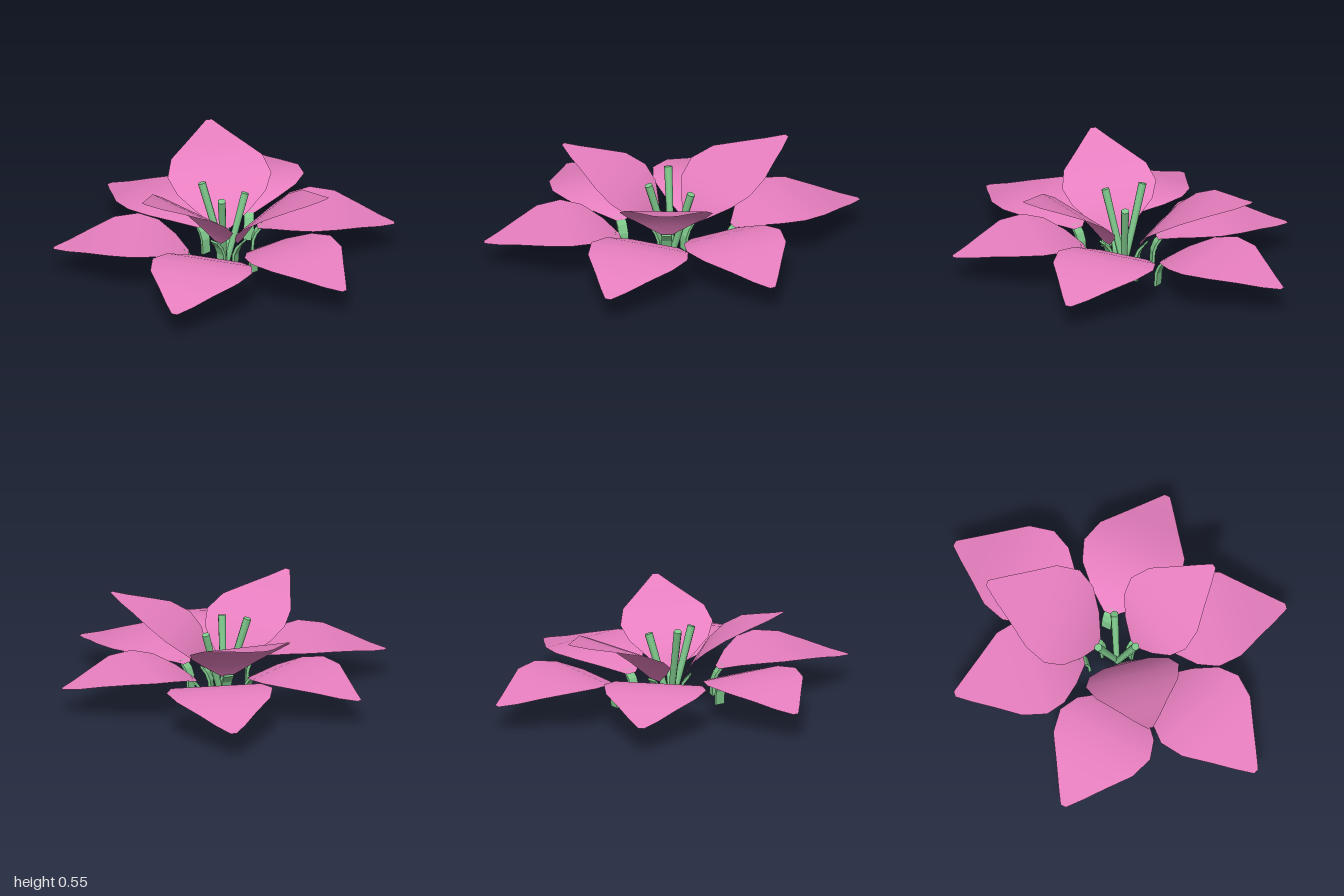
import * as THREE from 'three';

const pink = new THREE.MeshStandardMaterial({ color: 0xe87fc0, side: THREE.DoubleSide });
const green = new THREE.MeshStandardMaterial({ color: 0x7fc98c, side: THREE.DoubleSide });

// Petal cross-sections from base to tip: distance out, height, half width
const SECTIONS = [
  [0, 0, 0.03], [0.08, 0.045, 0.14], [0.18, 0.08, 0.24], [0.29, 0.092, 0.282],
  [0.42, 0.082, 0.248], [0.55, 0.047, 0.15], [0.65, 0.017, 0.077], [0.73, 0, 0.016],
];
const LENGTH = 0.73;

// A flat grid whose rows follow the sections
function petalGeometry() {
  const rows = SECTIONS.length - 1, cols = 4;
  const geo = new THREE.PlaneGeometry(1, 1, cols, rows);
  const p = geo.attributes.position;
  for (let i = 0; i < p.count; i++) {
    const [out, up, half] = SECTIONS[rows - Math.floor(i / (cols + 1))];
    p.setXYZ(i, out, up, p.getX(i) * 2 * half);
  }
  geo.computeVertexNormals();
  return geo;
}

// A thin bent strip that rises from the ground to the petal base
function stalkGeometry() {
  const s = new THREE.Shape();
  [[-0.035, 0], [-0.03, 0.08], [-0.012, 0.125], [0.025, 0.165],
    [0.03, 0.155], [0, 0.115], [-0.015, 0.075], [-0.02, 0]]
    .forEach(([x, y], i) => (i ? s.lineTo(x, y) : s.moveTo(x, y)));
  const geo = new THREE.ExtrudeGeometry(s, { depth: 0.055, bevelEnabled: false });
  return geo.translate(0, 0, -0.0275);
}

const petalGeo = petalGeometry();
const stalkGeo = stalkGeometry();
const BASE_Y = 0.15;

// Place a petal and its stalk from base (x, z) to tip (x, y, z)
function makePetal(name, [bx, bz], [tx, ty, tz]) {
  const group = new THREE.Group();
  group.name = name;
  const run = Math.hypot(tx - bx, tz - bz), rise = ty - BASE_Y;

  const blade = new THREE.Mesh(petalGeo, pink);
  blade.name = 'petalBlade';
  blade.position.y = BASE_Y;
  blade.rotation.z = Math.atan2(rise, run);
  blade.scale.setScalar(Math.hypot(run, rise) / LENGTH);

  const stalk = new THREE.Mesh(stalkGeo, green);
  stalk.name = 'petalStalk';
  group.add(blade, stalk);
  group.position.set(bx, 0, bz);
  group.rotation.y = Math.atan2(bz - tz, tx - bx);
  return group;
}

// A tapered rod between two points
function makeStamen(from, to) {
  const a = new THREE.Vector3(...from), b = new THREE.Vector3(...to);
  const dir = b.clone().sub(a);
  const mesh = new THREE.Mesh(new THREE.CylinderGeometry(0.022, 0.017, dir.length(), 8), green);
  mesh.name = 'stamen';
  mesh.position.copy(a).add(b).multiplyScalar(0.5);
  mesh.quaternion.setFromUnitVectors(new THREE.Vector3(0, 1, 0), dir.normalize());
  return mesh;
}

export function createModel() {
  const flower = new THREE.Group();
  flower.name = 'flower';

  // Six spreading outer petals
  [
    [[-0.05, -0.33], [-0.39, 0.155, -1.0]],
    [[0.07, -0.2], [0.71, 0.157, -0.575]],
    [[0.2, 0.05], [0.88, 0.157, 0.31]],
    [[0.1, 0.27], [0.21, 0.155, 1.0]],
    [[-0.095, 0.27], [-0.76, 0.157, 0.575]],
    [[-0.19, -0.06], [-0.88, 0.157, -0.285]],
  ].forEach(([base, tip]) => flower.add(makePetal('outerPetal', base, tip)));

  // Three raised inner petals
  [
    [[-0.07, -0.09], [-0.445, 0.5, -0.61]],
    [[0.08, 0.02], [0.615, 0.525, 0.01]],
    [[-0.02, 0.08], [-0.2, 0.55, 0.59]],
  ].forEach(([base, tip]) => flower.add(makePetal('innerPetal', base, tip)));

  // Stamens leaning out from the centre
  flower.add(
    makeStamen([-0.02, 0.01, 0], [-0.15, 0.45, 0.02]),
    makeStamen([-0.01, 0.01, -0.01], [0.045, 0.38, -0.11]),
    makeStamen([-0.02, 0.01, 0.01], [0.025, 0.42, 0.12]),
  );
  return flower;
}
